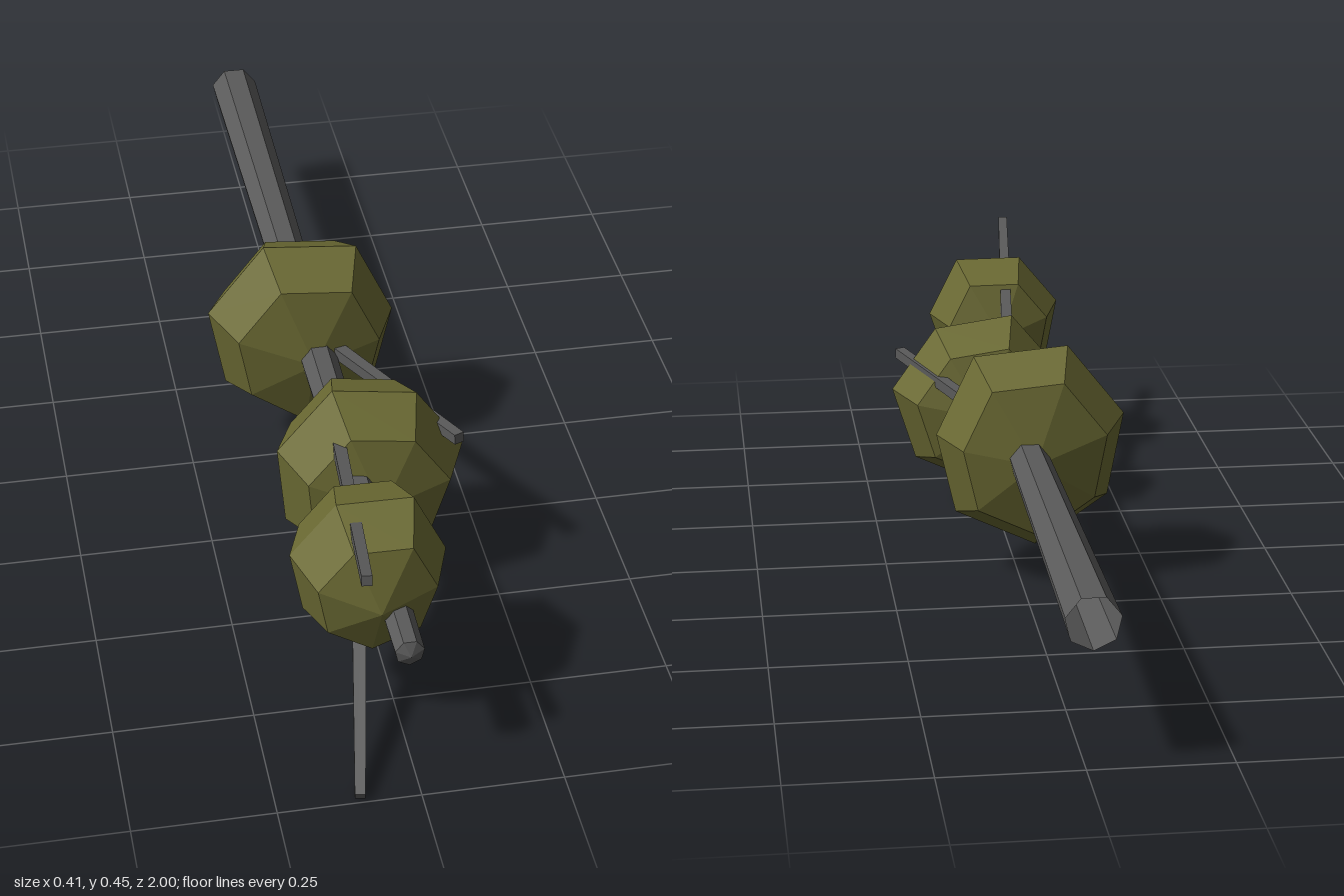
import * as THREE from 'three';

const bark = new THREE.MeshStandardMaterial({ color: 0x5a5a5a, flatShading: true, side: THREE.DoubleSide });
const leaf = new THREE.MeshStandardMaterial({ color: 0x6b6a33, flatShading: true });

// Tapered stick between two points
function stick(name, from, to, r0, r1, sides, open = false) {
  const a = new THREE.Vector3(...from), b = new THREE.Vector3(...to);
  const dir = b.clone().sub(a);
  const geo = new THREE.CylinderGeometry(r1, r0, dir.length(), sides, 1, open);
  if (sides === 4) geo.rotateY(Math.PI / 4);
  // Local x stays horizontal, local y follows the stick
  const y = dir.normalize();
  const x = new THREE.Vector3(0, 1, 0).cross(y).normalize();
  geo.applyMatrix4(new THREE.Matrix4().makeBasis(x, y, x.clone().cross(y)));
  const mesh = new THREE.Mesh(geo, bark);
  mesh.name = name;
  mesh.position.copy(a).add(b).multiplyScalar(0.5);
  return mesh;
}

// Seven-sided clump lying along z; radii give its uneven outline
function clump(name, center, halfDepth, radii) {
  const phase = 0.15, step = Math.PI * 2 / 7;
  const geo = new THREE.SphereGeometry(1, 7, 4);
  geo.rotateX(Math.PI / 2);
  geo.rotateZ(phase - step / 2);
  const p = geo.attributes.position;
  for (let i = 0; i < p.count; i++) {
    const x = p.getX(i), y = p.getY(i), z = p.getZ(i);
    const flat = Math.hypot(x, y);
    const k = (Math.round((Math.atan2(y, x) - phase) / step) + 7) % 7;
    const bulge = flat > 0.5 && flat < 0.9 ? 1.07 : 1;
    const r = radii[k] * bulge;
    p.setXYZ(i, x * r, y * r, z * halfDepth);
  }
  geo.computeVertexNormals();
  const mesh = new THREE.Mesh(geo, leaf);
  mesh.name = name;
  mesh.position.set(...center);
  return mesh;
}

export function createModel() {
  const model = new THREE.Group();
  model.name = 'fallenTree';

  // Trunk, open at the thick end and closed by a shallow tip
  model.add(stick('trunk', [-0.01, 0.263, -1], [-0.01, 0.26, 0.925], 0.048, 0.026, 7, true));
  model.add(stick('trunkTip', [-0.01, 0.26, 0.925], [-0.01, 0.26, 0.937], 0.026, 0, 7, true));

  // Bare branches
  model.add(stick('leftBranch', [0, 0.265, -0.02], [0.185, 0.31, 0.415], 0.017, 0.014, 4));
  model.add(stick('upperBranch', [-0.012, 0.265, 0.16], [-0.09, 0.447, 0.95], 0.018, 0.013, 4));
  model.add(stick('lowerBranch', [-0.01, 0.262, 0.46], [-0.106, 0.013, 0.994], 0.02, 0.013, 4));

  // Foliage
  model.add(clump('lowerFoliage', [-0.02, 0.258, -0.058], 0.13,
    [0.177, 0.206, 0.209, 0.194, 0.187, 0.203, 0.19]));
  model.add(clump('middleFoliage', [0.03, 0.225, 0.352], 0.138,
    [0.178, 0.175, 0.187, 0.178, 0.188, 0.187, 0.177]));
  model.add(clump('topFoliage', [-0.043, 0.285, 0.715], 0.135,
    [0.14, 0.16, 0.15, 0.142, 0.137, 0.14, 0.137]));

  return model;
}
